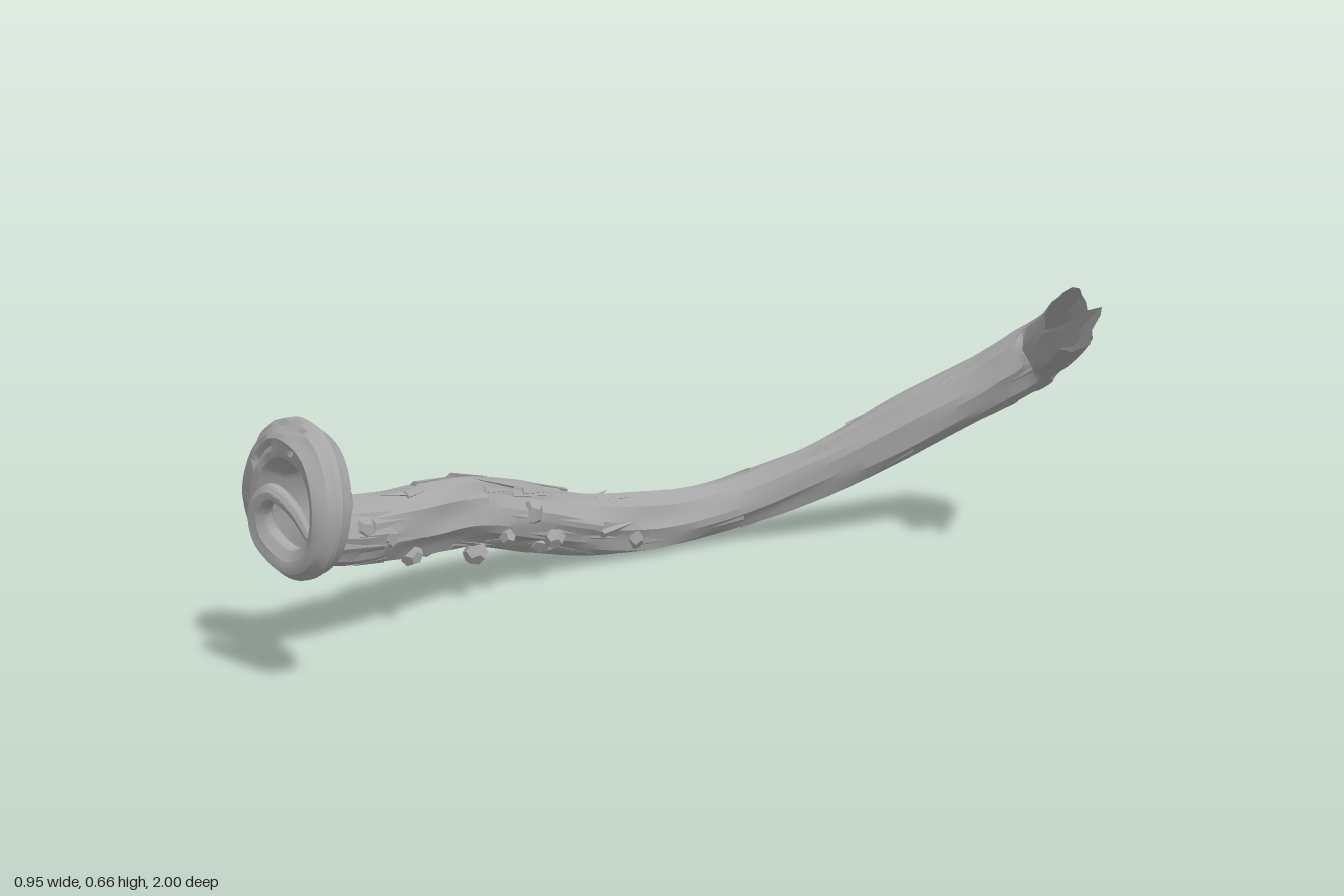
import * as THREE from 'three';
import { toCreasedNormals } from 'three/addons/utils/BufferGeometryUtils.js';

// Centre line from torn end to curled tip: x, y, z, radius
const PATH = [
  [0.405, 0.588, -0.768, 0.072], [0.31, 0.53, -0.85, 0.074], [0.205, 0.47, -0.936, 0.075],
  [0.12, 0.405, -0.885, 0.075], [0, 0.305, -0.75, 0.073], [-0.15, 0.19, -0.58, 0.068],
  [-0.285, 0.105, -0.4, 0.065], [-0.37, 0.074, -0.2, 0.068], [-0.4, 0.098, 0, 0.073],
  [-0.405, 0.155, 0.2, 0.078], [-0.375, 0.21, 0.4, 0.076], [-0.33, 0.228, 0.6, 0.074],
  [-0.305, 0.25, 0.77, 0.071], [-0.3, 0.285, 0.855, 0.068], [-0.295, 0.36, 0.885, 0.066],
  [-0.255, 0.443, 0.895, 0.056], [-0.18, 0.48, 0.905, 0.044], [-0.085, 0.455, 0.915, 0.04],
  [-0.04, 0.38, 0.93, 0.038], [-0.06, 0.295, 0.94, 0.034], [-0.13, 0.26, 0.95, 0.03],
  [-0.205, 0.3, 0.965, 0.028], [-0.21, 0.355, 0.975, 0.023], [-0.165, 0.395, 0.972, 0.018],
  [-0.115, 0.37, 0.96, 0.014], [-0.08, 0.32, 0.95, 0.009],
];
const RINGS = 260, SIDES = 24, LAST = PATH.length - 1;

function seeded(seed) {
  return () => {
    seed = (seed * 16807) % 2147483647;
    return seed / 2147483647;
  };
}

// Rings with a cross-section frame: upright on the stem, carried along on the curl
function makeFrames() {
  const curve = new THREE.CatmullRomCurve3(PATH.map(p => new THREE.Vector3(p[0], p[1], p[2])));
  const frames = [];
  let normal = new THREE.Vector3(0, 1, 0), length = 0, last = curve.getPoint(0);
  for (let i = 0; i <= RINGS; i++) {
    const u = i / RINGS, k = Math.min(Math.floor(u * LAST), LAST - 1);
    const P = curve.getPoint(u), T = curve.getTangent(u);
    const base = u * LAST < 12 ? new THREE.Vector3(0, 1, 0) : normal.clone();
    normal = base.addScaledVector(T, -base.dot(T)).normalize();
    length += P.distanceTo(last);
    last = P;
    // the rear half is narrower than it is tall
    const squash = 0.8 + 0.2 * THREE.MathUtils.smoothstep(u * LAST, 5, 8);
    frames.push({
      s: length, P, T, N: normal,
      B: new THREE.Vector3().crossVectors(T, normal).multiplyScalar(squash),
      r: THREE.MathUtils.lerp(PATH[k][3], PATH[k + 1][3], u * LAST - k),
    });
  }
  return frames;
}

const outward = (f, a) => f.N.clone().multiplyScalar(Math.cos(a)).addScaledVector(f.B, Math.sin(a));

// Staggered rows of oval pits along the outer and lower side
function pitDepth(s, angle) {
  if (s < 0.32 || s > 2.75) return 0;
  let depth = 0;
  [1.05, 1.83, 2.88].forEach((row, n) => {
    const along = ((s / 0.15 + n * 0.5) % 1) - 0.5;
    const d = Math.hypot(along / 0.32, (angle - row) / 0.32);
    depth = Math.max(depth, THREE.MathUtils.clamp((1 - d) * 3, 0, 1));
  });
  return depth * 0.17;
}

// Sharp-crested woody ridges drifting around the stem
function barkRadius(s, a) {
  const crest = x => 1 - 2 * Math.abs(Math.sin(x));
  const rough = s > 1.3 && s < 2.3 ? 1.3 : 1;
  const ridges = 0.05 * crest(2.5 * a + s * 2.2) * Math.cos(s * 4 + Math.sin(a))
    + 0.05 * crest(4 * a - s * 3 + 1) + 0.035 * Math.sin(3 * a + s * 11);
  return 1 + ridges * rough - pitDepth(s, a);
}

function stemGeometry(frames) {
  const pos = [], index = [], rand = seeded(17);
  const teeth = Array.from({ length: SIDES }, (_, j) => (j % 5 < 2 ? 0.035 : -0.025) + (rand() - 0.5) * 0.03);
  frames.forEach((f, i) => {
    for (let j = 0; j < SIDES; j++) {
      const a = (j / SIDES) * Math.PI * 2;
      const p = f.P.clone().addScaledVector(outward(f, a), f.r * barkRadius(f.s, a));
      if (i < 6) p.addScaledVector(f.T, -teeth[j] * (1 - i / 6)); // torn, jagged end
      pos.push(p.x, p.y, p.z);
    }
  });
  for (let i = 0; i < RINGS; i++) {
    for (let j = 0; j < SIDES; j++) {
      const a = i * SIDES + j, b = i * SIDES + (j + 1) % SIDES;
      index.push(a, b, a + SIDES, b, b + SIDES, a + SIDES);
    }
  }
  // closed tip
  const tip = frames[RINGS].P.clone().addScaledVector(frames[RINGS].T, 0.01);
  pos.push(tip.x, tip.y, tip.z);
  for (let j = 0; j < SIDES; j++) {
    index.push(RINGS * SIDES + j, RINGS * SIDES + (j + 1) % SIDES, (RINGS + 1) * SIDES);
  }
  const g = new THREE.BufferGeometry();
  g.setAttribute('position', new THREE.Float32BufferAttribute(pos, 3));
  g.setIndex(index);
  return toCreasedNormals(g, 0.38);
}

export function createModel() {
  const model = new THREE.Group();
  model.name = 'gnarledVine';
  const bark = new THREE.MeshStandardMaterial({ color: 0xa6a6a6, side: THREE.DoubleSide });
  const frames = makeFrames();
  const rand = seeded(91);

  const add = (name, geometry, parent = model) => {
    const mesh = new THREE.Mesh(geometry, bark);
    mesh.name = name;
    parent.add(mesh);
    return mesh;
  };
  add('stem', stemGeometry(frames));

  // Loose bark splinters lying along the stem, thickest on the front half
  const splinters = new THREE.Group();
  splinters.name = 'barkSplinters';
  model.add(splinters);
  const splinterShape = toCreasedNormals(new THREE.ConeGeometry(1, 1, 5), 0.3);
  for (let n = 0; n < 80; n++) {
    const f = frames[Math.floor((n < 50 ? 0.31 + rand() * 0.17 : 0.1 + rand() * 0.38) * RINGS)];
    const a = rand() * Math.PI * 2, dir = outward(f, a);
    const m = add('splinter', splinterShape, splinters);
    const along = f.T.clone().multiplyScalar(rand() < 0.5 ? 1 : -1).addScaledVector(dir, 0.05).normalize();
    const flat = dir.clone().addScaledVector(along, -dir.dot(along)).normalize();
    m.quaternion.setFromRotationMatrix(
      new THREE.Matrix4().makeBasis(new THREE.Vector3().crossVectors(along, flat), along, flat));
    m.position.copy(f.P).addScaledVector(dir, f.r * (barkRadius(f.s, a) - 0.02));
    m.scale.set(f.r * 0.2, f.r * (1 + rand()), f.r * 0.1);
  }

  // Faceted knobs on the inner and lower side
  const knobs = new THREE.Group();
  knobs.name = 'knobs';
  model.add(knobs);
  const knobShape = toCreasedNormals(new THREE.DodecahedronGeometry(1), 0.1);
  [
    [-0.255, 0.325, 0.78, 0.036], [-0.29, 0.165, 0.58, 0.024], [-0.262, 0.23, 0.66, 0.026],
    [-0.33, 0.16, 0.52, 0.022], [-0.35, 0.115, 0.37, 0.028], [-0.325, 0.14, 0.3, 0.022],
    [-0.37, 0.095, 0.17, 0.03], [-0.335, 0.11, 0.16, 0.026], [-0.34, 0.06, -0.09, 0.026],
    [-0.25, 0.26, 0.72, 0.025], [0.145, 0.36, -0.93, 0.018], [-0.335, 0.18, 0.22, 0.028],
  ].forEach(([x, y, z, r], i) => {
    const m = add('knob', knobShape, knobs);
    m.position.set(x, y, z);
    m.scale.set(r, r * 0.85, r * 1.15);
    m.rotation.set(i, i * 2, 0);
  });

  // Pointed flakes standing off the middle of the stem
  [[-0.325, 0.1, -0.03, 0.1, -0.25], [-0.43, 0.15, -0.05, 0.09, 0.2]].forEach(([x, y, z, len, tilt]) => {
    const m = add('flake', splinterShape);
    m.position.set(x, y, z);
    m.rotation.set(-Math.PI / 2 + 0.15, 0, tilt);
    m.scale.set(0.025, len, 0.012);
  });
  return model;
}
